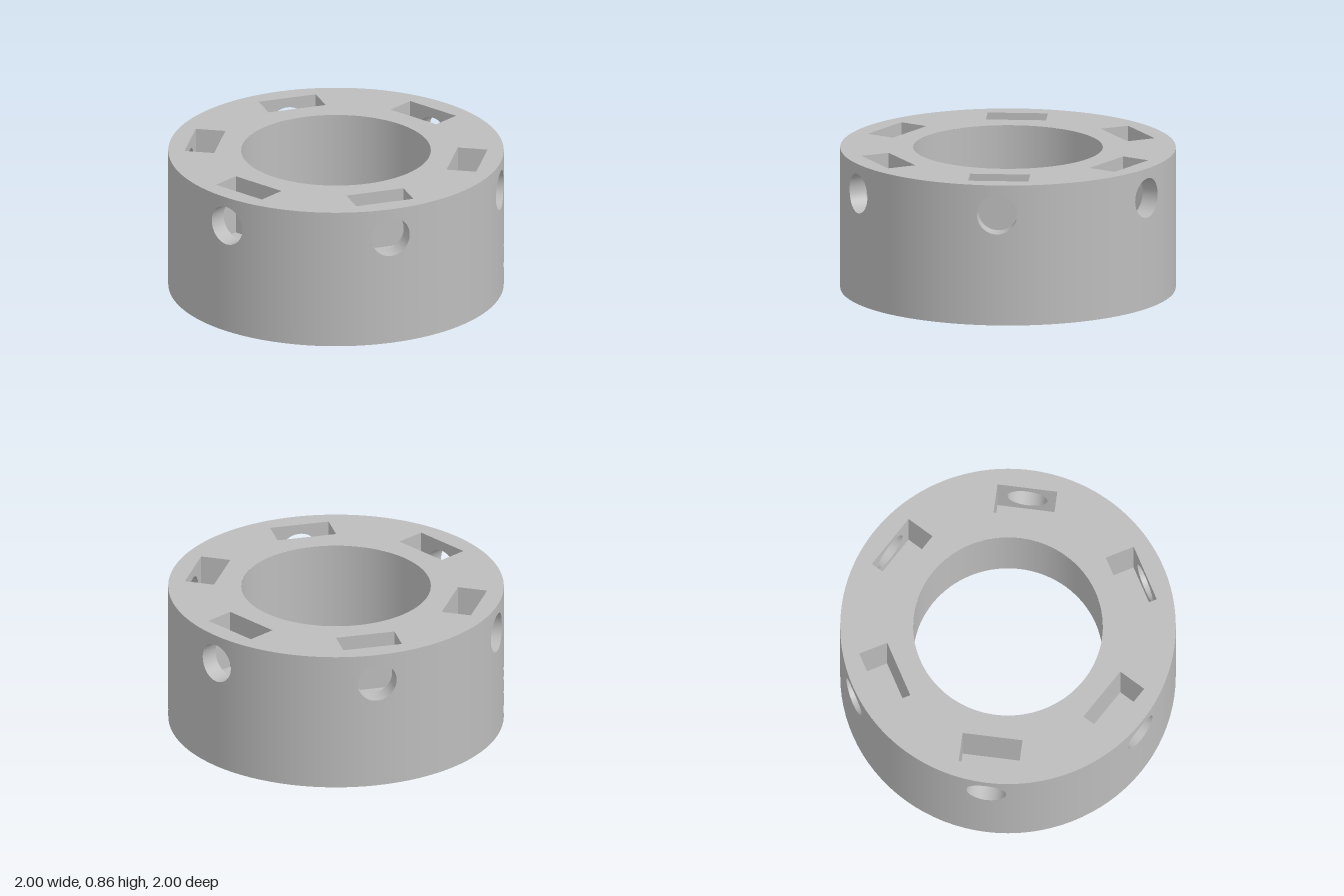
import * as THREE from 'three';

const H = 0.857;                          // overall height
const R_OUT = 1, R_BORE = 0.565, R_RECESS = 0.723, RECESS_Y = 0.317;
const SLOT_IN = 0.705, SLOT_OUT = 0.885, SLOT_W = 0.36, SLOT_Y = 0.497;
const HOLE_R = 0.12, HOLE_Y = 0.677;
const COUNT = 6, SIDE = 16, SEGMENTS = COUNT * SIDE;

// Surface through closed loops of points
function loft(loops) {
  const n = loops[0].length, index = [];
  for (let j = 0; j < loops.length - 1; j++) {
    for (let i = 0; i < n; i++) {
      const k = (i + 1) % n;
      const a = j * n + i, b = a + n, c = (j + 1) * n + k, d = j * n + k;
      index.push(a, b, c, a, c, d);
    }
  }
  const geometry = new THREE.BufferGeometry().setFromPoints(loops.flat());
  geometry.setIndex(index);
  geometry.computeVertexNormals();
  return geometry;
}

const onWall = (a, y) => new THREE.Vector3(R_OUT * Math.cos(a), y, -R_OUT * Math.sin(a));

// Round hole edge as [angle, height] on the outer wall, from the lower left corner
function holeLoop() {
  return Array.from({ length: SIDE * 4 }, (_, i) => {
    const t = -Math.PI * 0.75 + (i / (SIDE * 4)) * Math.PI * 2;
    return [Math.asin(HOLE_R * Math.cos(t)), HOLE_Y + HOLE_R * Math.sin(t)];
  });
}

// Edge of one wall sector, matching the hole edge point for point
function sectorLoop() {
  const w = Math.PI / COUNT;
  const corners = [[-w, 0], [w, 0], [w, H], [-w, H]];
  return corners.flatMap((p, s) => {
    const q = corners[(s + 1) % 4];
    return Array.from({ length: SIDE }, (_, i) =>
      [p[0] + (q[0] - p[0]) * i / SIDE, p[1] + (q[1] - p[1]) * i / SIDE]);
  });
}

// One sixth of the outer wall with its round opening
function wallGeometry() {
  const inner = holeLoop(), outer = sectorLoop(), rings = 10;
  const loops = [];
  for (let j = 0; j <= rings; j++) {
    const f = j / rings;
    loops.push(inner.map((p, i) =>
      onWall(p[0] + (outer[i][0] - p[0]) * f, p[1] + (outer[i][1] - p[1]) * f)));
  }
  const geometry = loft(loops);
  const pos = geometry.attributes.position, normal = geometry.attributes.normal;
  for (let i = 0; i < pos.count; i++) normal.setXYZ(i, pos.getX(i), 0, pos.getZ(i));
  return geometry;
}

// Round passage from the slot to the outer wall
function passageGeometry() {
  const outer = holeLoop().map(([a, y]) => onWall(a, y));
  const inner = outer.map((p) => new THREE.Vector3(SLOT_OUT, p.y, p.z));
  return loft([inner, outer]);
}

// Slot wall pierced by the round passage
function piercedGeometry() {
  const w = SLOT_W / 2, y0 = SLOT_Y - HOLE_Y, y1 = H - HOLE_Y;
  const shape = new THREE.Shape([[-w, y0], [w, y0], [w, y1], [-w, y1]]
    .map(([x, y]) => new THREE.Vector2(x, y)));
  shape.holes.push(new THREE.Path().absarc(0, 0, HOLE_R, 0, Math.PI * 2, true));
  return new THREE.ShapeGeometry(shape, SIDE * 4)
    .rotateY(-Math.PI / 2).translate(SLOT_OUT, HOLE_Y, 0);
}

// Flat top ring with the bore and slot openings
function topGeometry() {
  const shape = new THREE.Shape().absarc(0, 0, R_OUT, 0, Math.PI * 2, false);
  shape.holes.push(new THREE.Path().absarc(0, 0, R_BORE, 0, Math.PI * 2, true));
  const w = SLOT_W / 2;
  for (let k = 0; k < COUNT; k++) {
    const turn = k * Math.PI * 2 / COUNT;
    shape.holes.push(new THREE.Path(
      [[SLOT_IN, -w], [SLOT_IN, w], [SLOT_OUT, w], [SLOT_OUT, -w]].map(([x, y]) =>
        new THREE.Vector2(x, y).rotateAround(new THREE.Vector2(), turn))));
  }
  return new THREE.ShapeGeometry(shape, SEGMENTS).rotateX(-Math.PI / 2).translate(0, H, 0);
}

export function createModel() {
  const grey = new THREE.MeshStandardMaterial({ color: 0xbcbcbc });
  grey.name = 'plain grey';
  const model = new THREE.Group();
  model.name = 'slottedCollar';

  const add = (parent, name, geometry) => {
    const mesh = new THREE.Mesh(geometry, grey);
    mesh.name = name;
    parent.add(mesh);
  };
  const band = (name, r0, y0, r1, y1) => add(model, name, new THREE.LatheGeometry(
    [new THREE.Vector2(r0, y0), new THREE.Vector2(r1, y1)], SEGMENTS));

  // Top face, stepped bore and bottom face
  add(model, 'topFace', topGeometry());
  band('bore', R_BORE, H, R_BORE, RECESS_Y);
  band('recessLedge', R_BORE, RECESS_Y, R_RECESS, RECESS_Y);
  band('recessWall', R_RECESS, RECESS_Y, R_RECESS, 0);
  band('bottomFace', R_RECESS, 0, R_OUT, 0);

  // Slot walls and floor, shared by all sectors
  const depth = H - SLOT_Y, length = SLOT_OUT - SLOT_IN;
  const midX = (SLOT_IN + SLOT_OUT) / 2, midY = (H + SLOT_Y) / 2;
  const parts = {
    outerWall: wallGeometry(),
    roundPassage: passageGeometry(),
    slotOuterWall: piercedGeometry(),
    slotInnerWall: new THREE.PlaneGeometry(SLOT_W, depth)
      .rotateY(Math.PI / 2).translate(SLOT_IN, midY, 0),
    slotBackWall: new THREE.PlaneGeometry(length, depth).translate(midX, midY, -SLOT_W / 2),
    slotFrontWall: new THREE.PlaneGeometry(length, depth)
      .rotateY(Math.PI).translate(midX, midY, SLOT_W / 2),
    slotFloor: new THREE.PlaneGeometry(length, SLOT_W)
      .rotateX(-Math.PI / 2).translate(midX, SLOT_Y, 0),
  };

  // Six equal sectors around the axis
  for (let k = 0; k < COUNT; k++) {
    const sector = new THREE.Group();
    sector.name = `sector${k + 1}`;
    sector.rotation.y = k * Math.PI * 2 / COUNT;
    for (const [name, geometry] of Object.entries(parts)) add(sector, name, geometry);
    model.add(sector);
  }
  return model;
}
